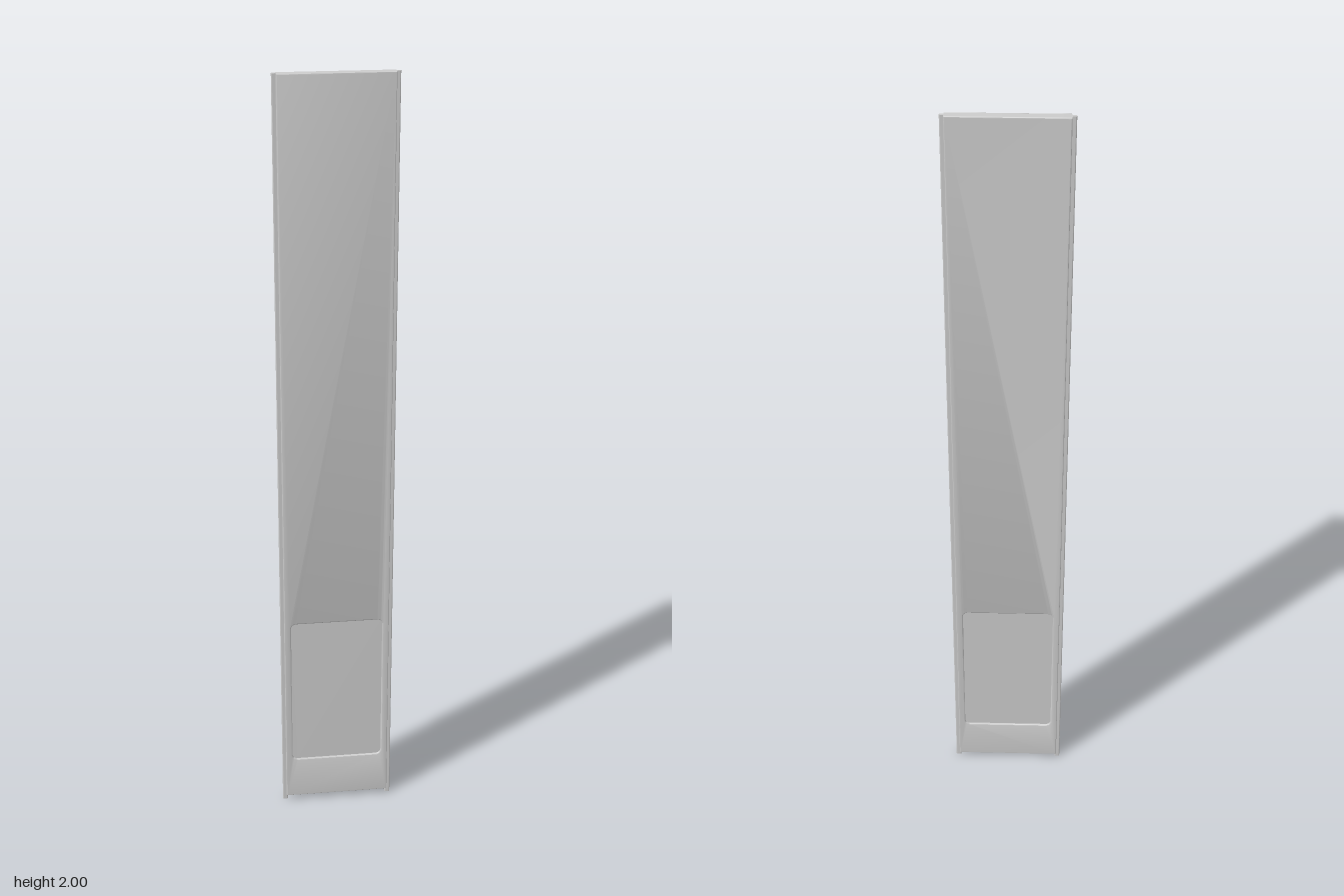
import * as THREE from 'three';
import { toCreasedNormals } from 'three/addons/utils/BufferGeometryUtils.js';

const material = new THREE.MeshStandardMaterial({ color: 0xcccccc });

// Rectangle with rounded corners, centred on (cx, cy)
function roundedRect(target, w, h, r, cx = 0, cy = 0) {
  const x = w / 2 - r, y = h / 2 - r;
  target.absarc(cx + x, cy + y, r, 0, Math.PI / 2);
  target.absarc(cx - x, cy + y, r, Math.PI / 2, Math.PI);
  target.absarc(cx - x, cy - y, r, Math.PI, Math.PI * 1.5);
  target.absarc(cx + x, cy - y, r, Math.PI * 1.5, Math.PI * 2);
  target.closePath();
  return target;
}

function addPart(group, name, geometry) {
  const mesh = new THREE.Mesh(toCreasedNormals(geometry, 0.6), material);
  mesh.name = name;
  group.add(mesh);
  return mesh;
}

export function createModel() {
  const group = new THREE.Group();
  group.name = 'slidingPanel';

  const halfWidth = 0.14, bottom = 0.015, top = 2;
  const thickness = 0.024, round = 0.003;
  const pocket = { w: 0.244, h: 0.426, y: 0.348, r: 0.014 };

  // Panel with softened edges and an opening for the pocket
  const outline = new THREE.Shape([
    new THREE.Vector2(-halfWidth, bottom), new THREE.Vector2(halfWidth, bottom),
    new THREE.Vector2(halfWidth, top), new THREE.Vector2(-halfWidth, top),
  ]);
  outline.holes.push(roundedRect(new THREE.Path(), pocket.w, pocket.h, pocket.r, 0, pocket.y));
  const panel = new THREE.ExtrudeGeometry(outline, {
    depth: thickness - 2 * round, curveSegments: 6,
    bevelThickness: round, bevelSize: round, bevelOffset: -round, bevelSegments: 3,
  });
  panel.translate(0, 0, -thickness / 2 + round);
  addPart(group, 'panel', panel);

  // Thin web that forms the sunken pocket floor on both faces
  const floorDepth = 0.014;
  const floor = new THREE.ExtrudeGeometry(
    roundedRect(new THREE.Shape(), pocket.w + 0.002, pocket.h + 0.002, pocket.r, 0, pocket.y),
    { depth: floorDepth, bevelEnabled: false, curveSegments: 6 });
  floor.translate(0, 0, -floorDepth / 2);
  addPart(group, 'pocketFloor', floor);

  // Narrow guide tongues running the full height of both side edges
  for (const side of [-1, 1]) {
    const tongue = new THREE.ExtrudeGeometry(
      roundedRect(new THREE.Shape(), 0.014, 0.0075, 0.003),
      { depth: top, bevelEnabled: false, curveSegments: 4 });
    tongue.rotateX(-Math.PI / 2);
    const mesh = addPart(group, side > 0 ? 'leftTongue' : 'rightTongue', tongue);
    mesh.position.x = side * (0.15 - 0.007);
  }

  return group;
}
